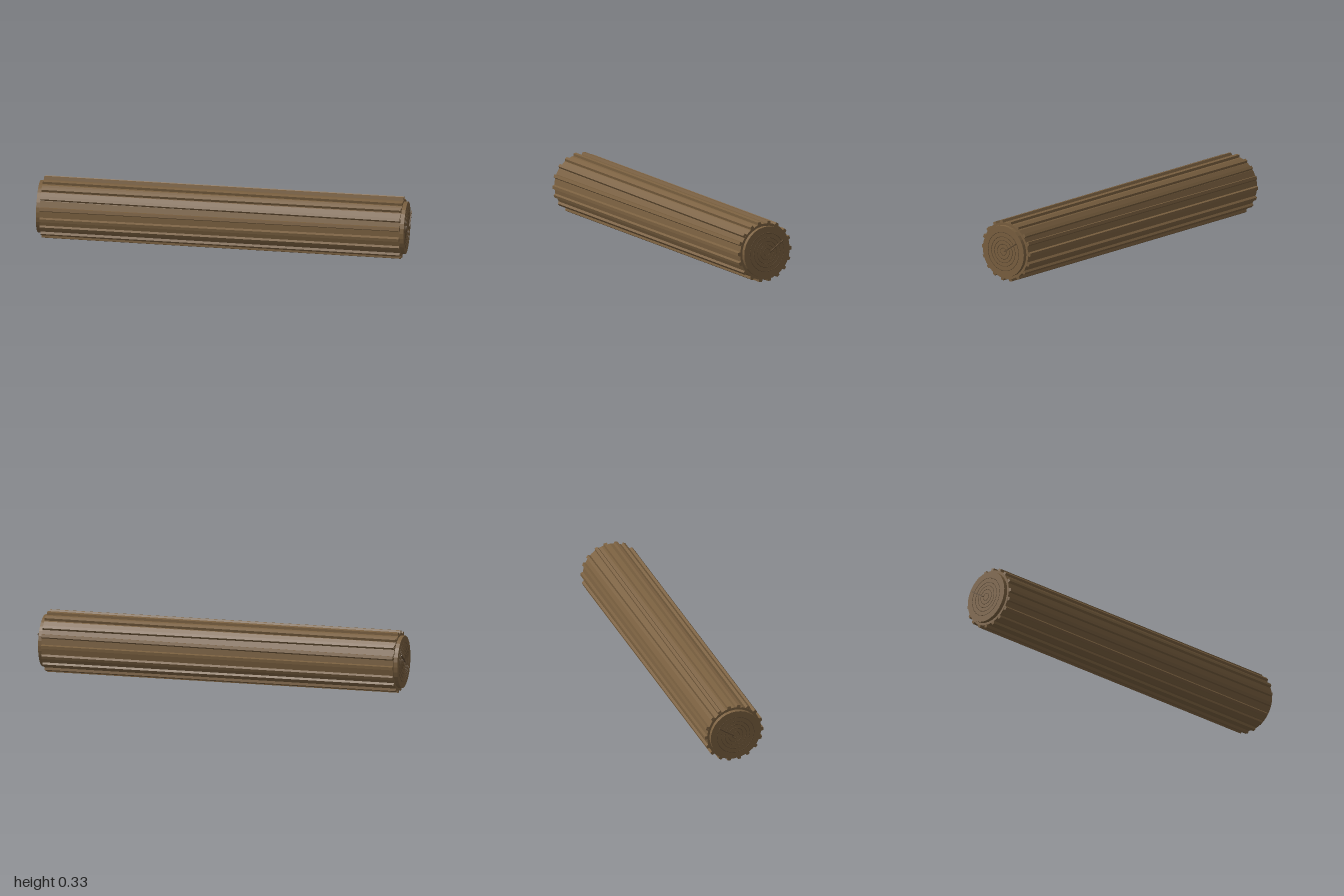
import * as THREE from 'three';

const AXIS_Y = 0.159;
const HALF = 0.965;

export function createModel() {
  const bark = new THREE.MeshStandardMaterial({ color: 0x7a6040 });
  bark.name = 'brown bark';
  bark.flatShading = true;
  const grain = new THREE.MeshStandardMaterial({ color: 0x5f4a32 });
  grain.name = 'dark grain';

  const log = new THREE.Group();
  log.name = 'log';
  log.position.y = AXIS_Y;

  const add = (name, geometry, material, parent = log) => {
    const mesh = new THREE.Mesh(geometry, material);
    mesh.name = name;
    parent.add(mesh);
    return mesh;
  };

  let seed = 7;
  const random = () => (seed = (seed * 16807) % 2147483647) / 2147483647;

  // trunk lying along x
  add('trunk', new THREE.CylinderGeometry(0.154, 0.154, HALF * 2, 20).rotateZ(Math.PI / 2), bark);

  // bark ridges: tapered strips, drifting slightly along the trunk
  const count = 18;
  for (let i = 0; i < count; i++) {
    const geometry = new THREE.BoxGeometry(HALF * 2, 0.022, 0.027, 3, 1, 1);
    const p = geometry.attributes.position;
    const drift = (random() - 0.5) * 0.008;
    const lean = (random() - 0.5) * 0.006;
    for (let v = 0; v < p.count; v++) {
      const x = p.getX(v);
      const outer = p.getY(v) > 0;
      const taper = outer ? 0.6 : 1;
      p.setZ(v, p.getZ(v) * taper + drift * (x / HALF) + (outer ? lean : 0));
      if (outer) p.setX(v, x * 0.998);
    }
    geometry.translate(0, 0.155, 0);
    geometry.rotateX(Math.PI / 2 + (i / count) * Math.PI * 2);
    geometry.computeVertexNormals();
    add('barkRidge', geometry, bark);
  }

  // cut ends with growth rings and a radial crack
  for (const side of [1, -1]) {
    const end = new THREE.Group();
    end.name = side > 0 ? 'leftEnd' : 'rightEnd';
    log.add(end);

    const cap = add('cutFace', new THREE.CylinderGeometry(0.14, 0.14, 0.024, 32).rotateZ(Math.PI / 2), bark, end);
    cap.position.x = side * 0.974;

    for (const radius of [0.02, 0.041, 0.061, 0.081, 0.105]) {
      const ring = add('growthRing', new THREE.TorusGeometry(radius, 0.0016, 4, 24).rotateY(Math.PI / 2), grain, end);
      ring.position.x = side * 0.986;
    }

    const crack = add('crack', new THREE.BoxGeometry(0.006, 0.005, 0.098), grain, end);
    crack.position.set(side * 0.997, 0.03, -0.054);
    crack.rotation.x = 0.59;
  }

  const model = new THREE.Group();
  model.name = 'woodenLog';
  model.add(log);
  return model;
}
